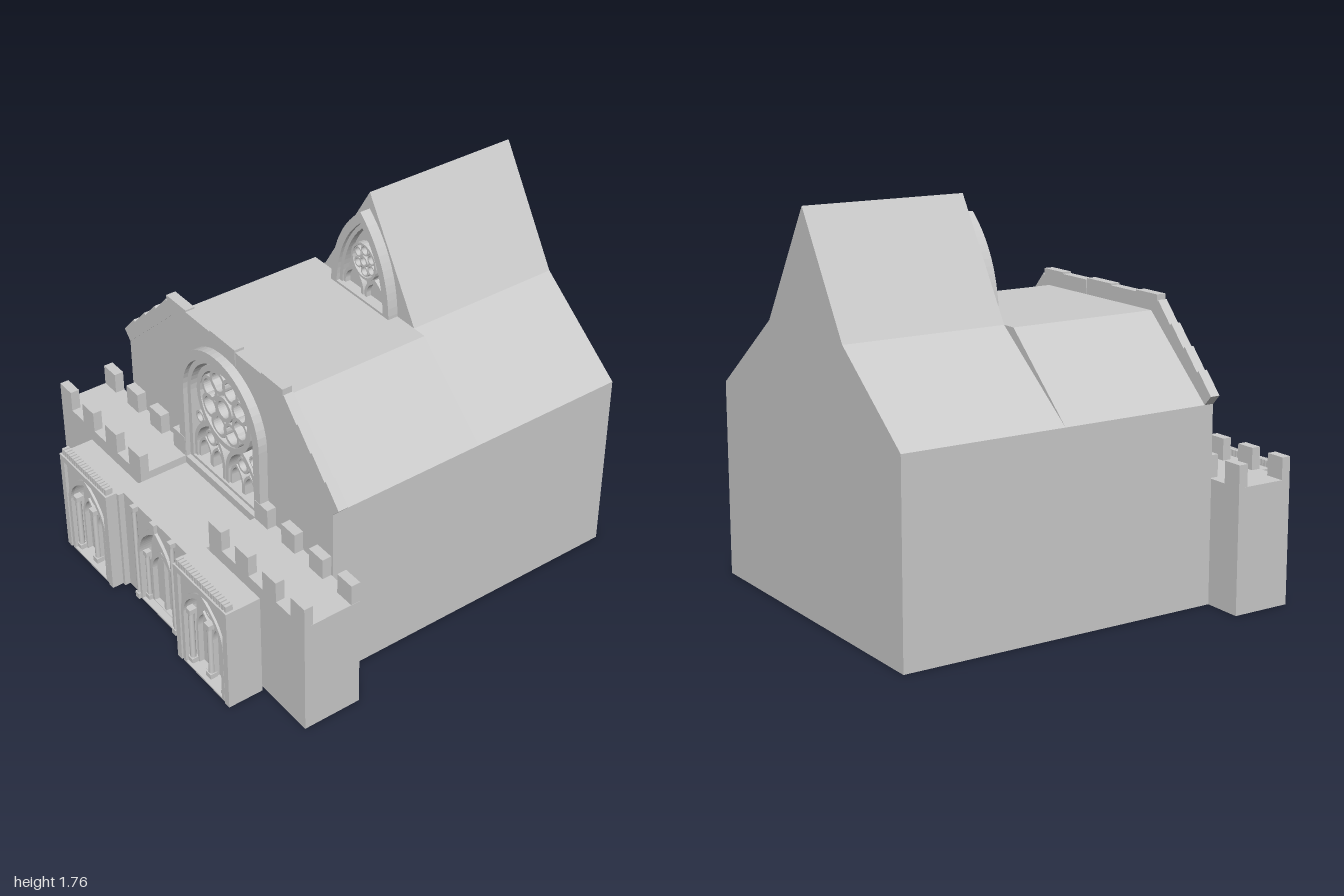
import * as THREE from 'three';

const stone = new THREE.MeshStandardMaterial({ color: 0xcccccc });

function add(parent, name, geometry) {
  const mesh = new THREE.Mesh(geometry, stone);
  mesh.name = name;
  parent.add(mesh);
  return mesh;
}

// Box given by its limits on each axis
function box(parent, name, x0, x1, y0, y1, z0, z1) {
  const m = add(parent, name, new THREE.BoxGeometry(x1 - x0, y1 - y0, z1 - z0));
  m.position.set((x0 + x1) / 2, (y0 + y1) / 2, (z0 + z1) / 2);
  return m;
}

// Outline drawn in (z, y), extruded along x from x0 to x1
function slab(parent, name, shape, x0, x1) {
  const g = new THREE.ExtrudeGeometry(shape, { depth: x1 - x0, bevelEnabled: false, curveSegments: 14 });
  g.rotateY(-Math.PI / 2).translate(x1, 0, 0);
  return add(parent, name, g);
}

const poly = (pts) => new THREE.Shape(pts.map(([z, y]) => new THREE.Vector2(z, y)));
const rect = (z0, z1, y0, y1) => poly([[z0, y0], [z1, y0], [z1, y1], [z0, y1]]);

// Pointed arch outline
function pointed(c, w, y0, spring, top) {
  const s = new THREE.Shape();
  const k = spring + (top - spring) * 0.62;
  s.moveTo(c - w, y0).lineTo(c + w, y0).lineTo(c + w, spring);
  s.quadraticCurveTo(c + w * 0.93, k, c, top);
  s.quadraticCurveTo(c - w * 0.93, k, c - w, spring);
  return s;
}

// Round arch outline
function round(w, y0, spring) {
  const s = new THREE.Shape();
  s.moveTo(-w, y0).lineTo(w, y0).lineTo(w, spring);
  s.absarc(0, spring, w, 0, Math.PI, false);
  return s;
}

function withHole(outer, inner) {
  outer.holes.push(inner);
  return outer;
}

function ring(c, y, r, t) {
  const s = new THREE.Shape().absarc(c, y, r, 0, Math.PI * 2, false);
  return withHole(s, new THREE.Path().absarc(c, y, r - t, 0, Math.PI * 2, true));
}

function lancet(parent, name, c, w, y0, spring, top, t, x0, x1) {
  slab(parent, name, withHole(pointed(c, w, y0, spring, top),
    pointed(c, w - t, y0 + t * 0.4, spring, top - t * 1.4)), x0, x1);
}

// Rose: rim, hub and a circle of small rings
function rose(parent, c, y, r, n, x0, x1) {
  slab(parent, 'roseRim', ring(c, y, r, r * 0.13), x0, x1);
  slab(parent, 'roseHub', ring(c, y, r * 0.3, r * 0.1), x0, x1);
  for (let i = 0; i < n; i++) {
    const a = (i + 0.5) / n * Math.PI * 2;
    slab(parent, 'rosePetal', ring(c + Math.cos(a) * r * 0.6, y + Math.sin(a) * r * 0.6, r * 0.29, r * 0.08), x0 + 0.006, x1);
  }
}

function column(parent, x, z, r, y0, y1) {
  const m = add(parent, 'column', new THREE.CylinderGeometry(r, r, y1 - y0, 10));
  m.position.set(x, (y0 + y1) / 2, z);
  box(parent, 'columnBase', x - r * 1.3, x + r * 1.3, y0, y0 + 0.03, z - r * 1.3, z + r * 1.3);
  box(parent, 'columnCapital', x - r * 1.3, x + r * 1.3, y1 - 0.025, y1, z - r * 1.3, z + r * 1.3);
}

export function createModel() {
  const model = new THREE.Group();
  model.name = 'church';
  const group = (name) => {
    const g = new THREE.Group();
    g.name = name;
    model.add(g);
    return g;
  };

  // Hall with a flat-topped roof, and the taller gabled part behind it
  const hall = [[-0.77, 0], [0.77, 0], [0.77, 0.895], [0.39, 1.245], [-0.39, 1.245], [-0.77, 0.895]];
  slab(model, 'hall', poly(hall), -0.49, 0.23);
  slab(model, 'gabledHall', poly([[-0.77, 0], [0.77, 0], [0.77, 0.895], [0.32, 1.245],
    [0, 1.765], [-0.32, 1.245], [-0.77, 0.895]]), 0.23, 1);

  // Entrance wall with its arched opening
  slab(model, 'entranceWall', withHole(poly(hall), round(0.26, 0.565, 0.935)), -0.535, -0.49);

  // Stepped coping stones along the gable edge
  const coping = group('coping');
  const [dz, dy] = [-0.38 / 0.517, 0.35 / 0.517];
  for (const s of [1, -1]) {
    for (let i = 0; i < 4; i++) {
      const at = (t, h) => [s * (0.77 + dz * t + dy * h), 0.895 + dy * t - dz * h];
      const a = i * 0.517 / 4, b = a + 0.517 / 4;
      const pts = [at(a, -0.005), at(a, 0.058), at(b, 0.07), at(b, -0.005)];
      slab(coping, 'copingStone', poly(s > 0 ? pts : pts.reverse()), -0.537, -0.49);
    }
    slab(coping, 'shoulderStone', rect(s > 0 ? 0.28 : -0.43, s > 0 ? 0.43 : -0.28, 1.24, 1.32), -0.537, -0.49);
  }
  for (const z of [-0.28, -0.095, 0.095]) {
    slab(coping, 'topStone', rect(z, z + 0.185, 1.24, z === -0.095 ? 1.32 : 1.312), -0.537, -0.49);
  }

  // Great window: round frame, rose and two lancet pairs
  const great = group('greatWindow');
  slab(great, 'windowFrame', withHole(round(0.31, 0.525, 0.935), round(0.265, 0.565, 0.935)), -0.578, -0.535);
  slab(great, 'innerFrame', withHole(round(0.27, 0.565, 0.935), round(0.24, 0.58, 0.935)), -0.555, -0.49);
  rose(great, 0, 0.965, 0.205, 8, -0.545, -0.49);
  for (const s of [1, -1]) {
    lancet(great, 'lancet', s * 0.122, 0.12, 0.565, 0.66, 0.83, 0.02, -0.545, -0.49);
    for (const o of [-0.05, 0.05]) lancet(great, 'smallLancet', s * 0.122 + o, 0.05, 0.565, 0.63, 0.71, 0.012, -0.535, -0.49);
    slab(great, 'lancetRing', ring(s * 0.122, 0.735, 0.04, 0.012), -0.535, -0.49);
    slab(great, 'cornerRing', ring(s * 0.205, 0.8, 0.032, 0.01), -0.535, -0.49);
  }

  // Upper window on the tall gable
  const upper = group('upperWindow');
  lancet(upper, 'upperFrame', 0, 0.205, 1.24, 1.26, 1.685, 0.04, 0.18, 0.235);
  lancet(upper, 'upperInnerFrame', 0, 0.165, 1.24, 1.26, 1.63, 0.02, 0.197, 0.235);
  rose(upper, 0, 1.43, 0.088, 6, 0.2, 0.235);
  for (const s of [1, -1]) lancet(upper, 'upperLancet', s * 0.075, 0.07, 1.245, 1.28, 1.37, 0.014, 0.205, 0.235);

  // Battlemented wings
  const wings = group('wings');
  for (const s of [1, -1]) {
    const span = (name, x0, x1, y0, y1, a, b) => box(wings, name, x0, x1, y0, y1, Math.min(s * a, s * b), Math.max(s * a, s * b));
    span('wing', -0.815, -0.535, 0, 0.565, 0.27, 0.955);
    for (let i = 0; i < 4; i++) {
      const z = 0.27 + i * 0.1965;
      span('merlon', -0.815, -0.772, 0.56, 0.665, z, z + 0.095);
      span('merlon', -0.58, -0.535, 0.56, 0.665, z, z + 0.095);
    }
  }

  // Side portals with pointed recess, columns, tracery and dentils
  for (const s of [1, -1]) {
    const p = group('sidePortal');
    const c = s * 0.467;
    box(p, 'portalBody', -0.925, -0.83, 0, 0.525, c - 0.198, c + 0.198);
    slab(p, 'portalFront', withHole(rect(c - 0.198, c + 0.198, 0, 0.525), pointed(c, 0.145, 0.004, 0.3, 0.475)), -0.985, -0.925);
    box(p, 'cornice', -1, -0.925, 0.495, 0.525, c - 0.198, c + 0.198);
    for (const o of [-1, 1]) {
      box(p, 'pier', -1, -0.98, 0, 0.5, c + o * 0.182 - 0.016, c + o * 0.182 + 0.016);
      column(p, -0.965, c + o * 0.128, 0.014, 0, 0.31);
      lancet(p, 'doorArch', c + o * 0.058, 0.056, 0, 0.22, 0.33, 0.012, -0.95, -0.92);
    }
    lancet(p, 'portalArch', c, 0.158, 0, 0.3, 0.49, 0.02, -0.996, -0.98);
    column(p, -0.955, c, 0.014, 0, 0.31);
    slab(p, 'portalRing', ring(c, 0.37, 0.045, 0.012), -0.95, -0.92);
    for (let i = 0; i < 19; i++) {
      const z = c - 0.18 + i * 0.02;
      box(p, 'dentil', -0.992, -0.957, 0.52, 0.555, z - 0.007, z + 0.007);
    }
  }

  // Central porch and doorway
  const porch = group('centralPorch');
  box(porch, 'porchBody', -0.87, -0.535, 0, 0.525, -0.27, 0.27);
  slab(porch, 'porchFront', withHole(rect(-0.27, 0.27, 0, 0.525), pointed(0, 0.125, 0.004, 0.28, 0.46)), -0.918, -0.87);
  lancet(porch, 'porchArch', 0, 0.145, 0, 0.28, 0.49, 0.02, -0.932, -0.915);
  lancet(porch, 'doorFrame', 0, 0.1, 0, 0.2, 0.34, 0.018, -0.895, -0.865);
  box(porch, 'doorMullion', -0.89, -0.865, 0, 0.3, -0.008, 0.008);
  box(porch, 'keystone', -0.935, -0.91, 0.47, 0.525, -0.018, 0.018);
  for (const s of [1, -1]) {
    box(porch, 'porchPier', -0.945, -0.91, 0, 0.525, s * 0.262 - 0.01, s * 0.262 + 0.01);
    column(porch, -0.93, s * 0.15, 0.011, 0, 0.525);
    column(porch, -0.9, s * 0.112, 0.011, 0, 0.28);
  }

  return model;
}
